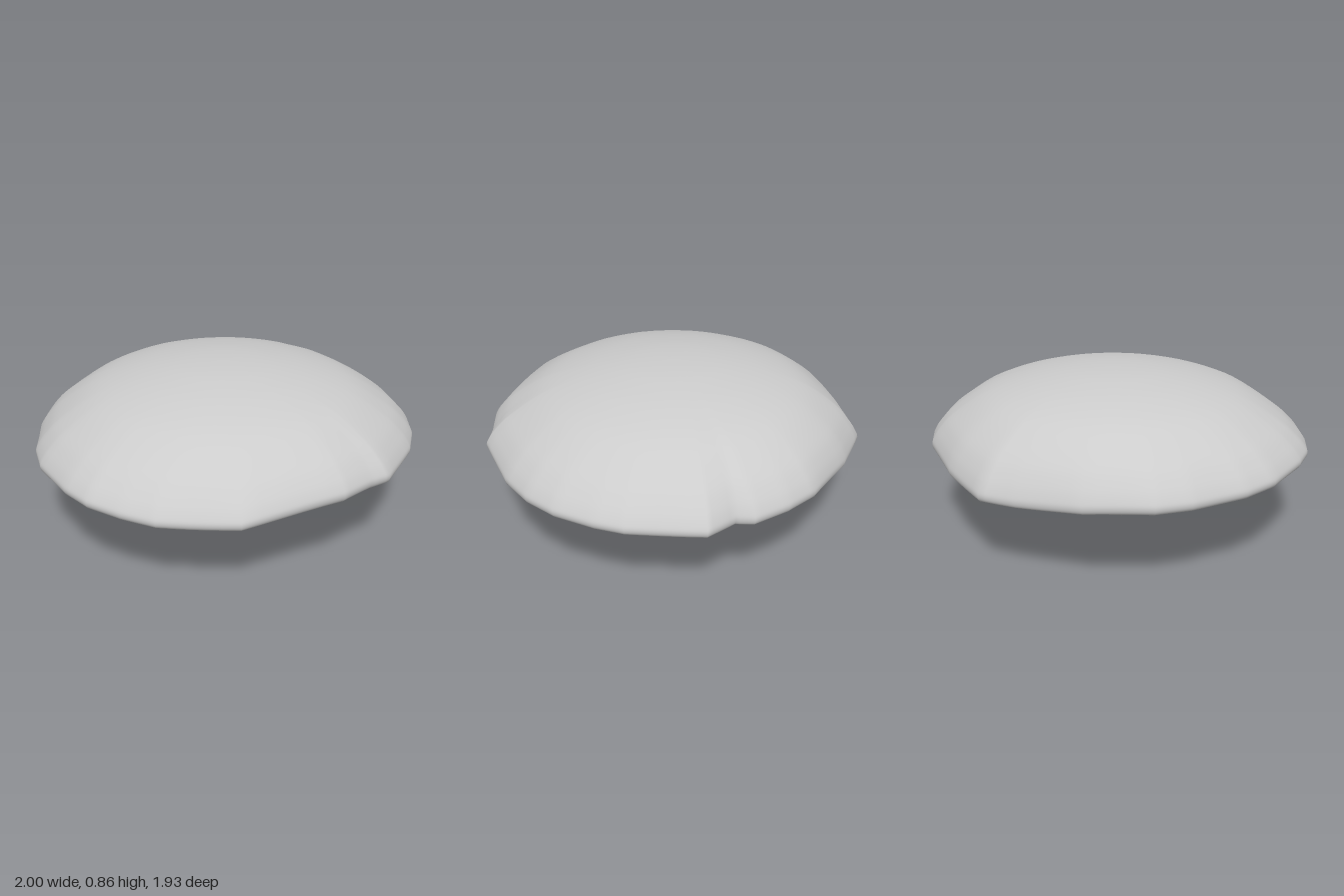
import * as THREE from 'three';

// Irregular rim of the cap as [x, z], running from the back round by the left side.
const RIM = [
  [0, -.97], [.3, -.88], [.62, -.72], [.75, -.6], [.86, -.45], [.86, -.365], [.975, -.25],
  [.995, .11], [.97, .25], [.9, .445], [.8, .595], [.66, .73], [.36, .915], [.245, .92],
  [.06, .957], [-.45, .9], [-.75, .68], [-.855, .545], [-.945, .39], [-.985, .23], [-1, -.05],
  [-.96, -.23], [-.9, -.355], [-.84, -.49], [-.74, -.63], [-.48, -.81], [-.18, -.92],
];
// Profiles as [fraction of rim radius, height], from the centre outwards.
const CAP = [[0, .862], [.15, .857], [.3, .842], [.5, .805], [.7, .74], [.87, .635], [.95, .56], [.99, .505], [1, .475], [.99, .45], [.96, .437]];
const GILLS = [[0, 0], [.05, .015], [.1, .065], [.2, .168], [.3, .255], [.4, .315], [.5, .352], [.7, .398], [.88, .425], [.96, .437]];
const STEPS = 5; // columns per rim segment

// Rim subdivided into straight steps
const rim = RIM.flatMap(([x, z], i) => {
  const [x2, z2] = RIM[(i + 1) % RIM.length];
  return Array.from({ length: STEPS }, (_, k) => [x + (x2 - x) * k / STEPS, z + (z2 - z) * k / STEPS]);
});

// Sweeps a profile round the rim; place(s, y, x, z) returns each vertex.
function sweep(name, profile, rows, place, faceUp) {
  const n = rim.length;
  const pts = new THREE.SplineCurve(profile.map(p => new THREE.Vector2(...p))).getPoints(rows);
  const pos = [...place(0, pts[0].y, 0, 1)];
  const index = [];
  const id = (i, j) => (i === 0 ? 0 : 1 + (i - 1) * n + j % n);
  for (let i = 1; i <= rows; i++) {
    for (const [x, z] of rim) pos.push(...place(pts[i].x, pts[i].y, x, z));
    for (let j = 0; j < n; j++) {
      const a = id(i - 1, j), b = id(i - 1, j + 1), c = id(i, j), d = id(i, j + 1);
      const tris = i === 1 ? [[a, c, d]] : [[a, c, d], [a, d, b]];
      for (const [p, q, r] of tris) index.push(...(faceUp ? [p, r, q] : [p, q, r]));
    }
  }
  const geo = new THREE.BufferGeometry();
  geo.setAttribute('position', new THREE.Float32BufferAttribute(pos, 3));
  geo.setIndex(index);
  geo.computeVertexNormals();
  const mesh = new THREE.Mesh(geo, new THREE.MeshStandardMaterial({ color: 0xcccccc, side: THREE.DoubleSide }));
  mesh.name = name;
  return mesh;
}

// Gentle up and down wander of the rim, fading towards the centre
const wave = (x, z, s) => {
  const a = Math.atan2(x, z);
  return Math.pow(s, 6) * (.01 * Math.sin(3 * a + 1) + .007 * Math.cos(5 * a) + .012 * z);
};

// Domed top: circular near the centre, following the irregular rim at the edge
function capPoint(s, y, x, z) {
  const r = Math.hypot(x, z), blend = Math.min(1, s ** 4);
  const k = s * (1 + (.975 / r - 1) * (1 - blend));
  return [x * k, y + wave(x, z, s), z * k];
}

// Funnel underside: ridges of uneven depth running from the tip to the rim
function gillPoint(s, y, x, z) {
  const a = Math.atan2(x, z);
  const folds = .5 + .28 * Math.sin(7 * a + 1.2) + .16 * Math.sin(11 * a + 2.1 * s) + .06 * Math.sin(17 * a);
  const hollow = Math.exp(-((a / .35) ** 2)); // deeper fold at the front
  const reach = Math.sin(Math.PI * Math.min(1, s / .96) ** .75) ** 1.5;
  const lift = reach * (.055 * folds + .05 * hollow);
  const tip = 1 - s / .96;
  return [x * s - .03 * tip, y + lift + wave(x, z, s), z * s + .03 * tip];
}

export function createModel() {
  const group = new THREE.Group();
  group.name = 'mushroomCap';
  group.add(sweep('cap', CAP, 40, capPoint, true));
  group.add(sweep('gills', GILLS, 36, gillPoint, false));
  return group;
}
